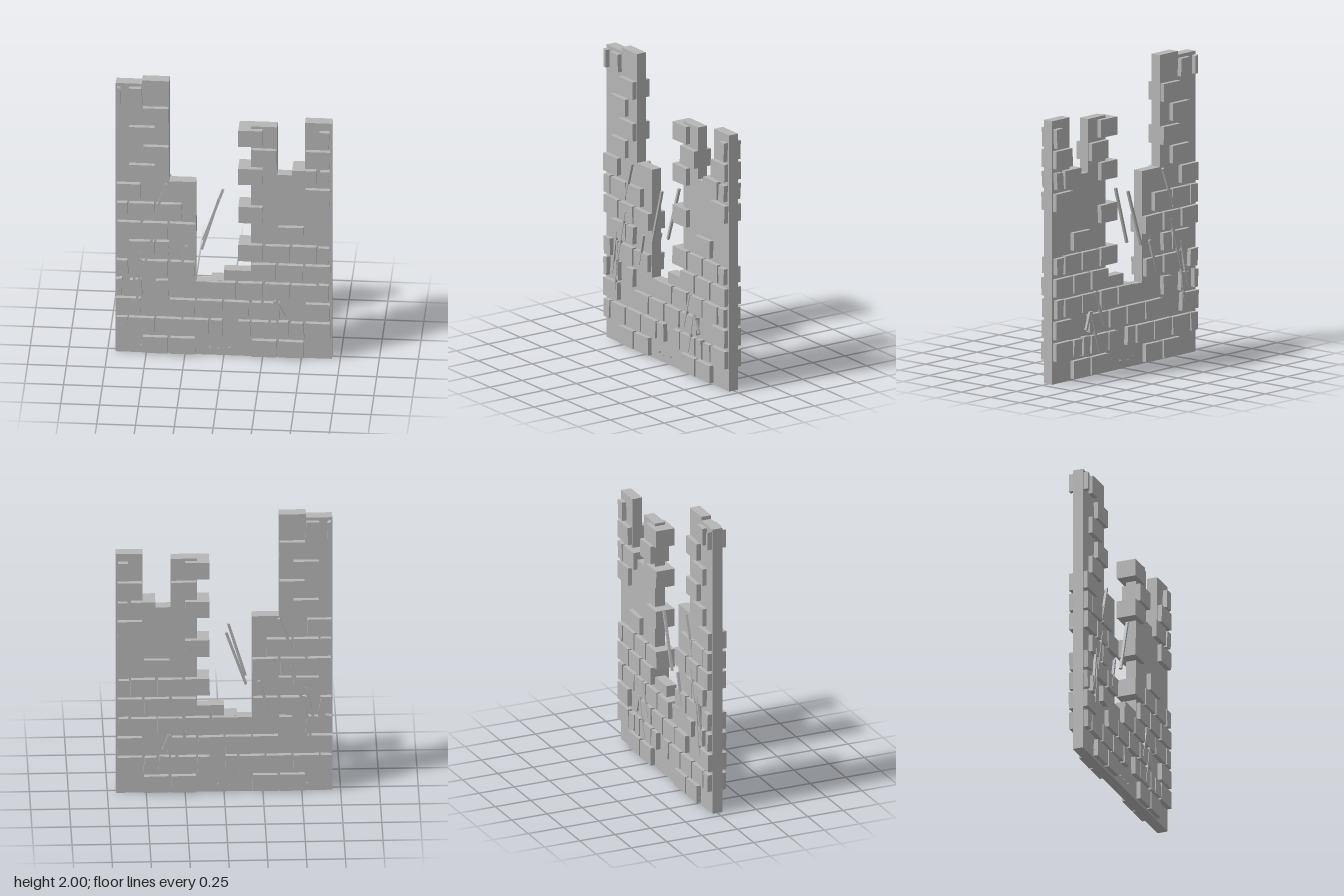
import * as THREE from 'three';

const stoneGrey = new THREE.MeshStandardMaterial({ color: 0xb6b6b6 });
stoneGrey.name = 'stoneGrey';

let seed = 7;
function rand() {
  seed = (seed * 16807) % 2147483647;
  return seed / 2147483647 - 0.5;
}

function add(parent, geometry, name) {
  const mesh = new THREE.Mesh(geometry, stoneGrey);
  mesh.name = name;
  parent.add(mesh);
  return mesh;
}

// Broken skyline of the wall slab
const outline = [
  [-0.697, 0], [0.695, 0], [0.695, 1.73], [0.523, 1.73], [0.523, 1.34], [0.343, 1.34],
  [0.343, 1.69], [0.175, 1.69], [0.175, 0.625], [0, 0.625], [0, 0.55], [-0.085, 0.55],
  [-0.085, 0.535], [-0.18, 0.535], [-0.18, 1.265], [-0.353, 1.265], [-0.353, 2],
  [-0.527, 2], [-0.527, 1.975], [-0.697, 1.975],
];

// Raised stones: x ranges per course, from the ground up
const courses = [
  [[-0.52, -0.36], [-0.345, -0.185], [0.18, 0.34], [0.355, 0.515]],
  [[-0.69, -0.625], [-0.61, -0.447], [-0.435, -0.272], [-0.26, -0.1], [-0.085, -0.01],
    [0.093, 0.17], [0.18, 0.342], [0.355, 0.42], [0.432, 0.515], [0.527, 0.685]],
  [[-0.695, -0.535], [-0.345, -0.185], [-0.172, -0.01], [0.005, 0.162], [0.18, 0.36], [0.527, 0.685]],
  [[-0.69, -0.66], [-0.607, -0.53], [-0.435, -0.357], [-0.085, 0.077], [0.093, 0.25],
    [0.267, 0.425], [0.437, 0.6], [0.617, 0.68]],
  [[-0.69, -0.615], [-0.53, -0.362], [-0.345, -0.19], [0.18, 0.337], [0.352, 0.51], [0.527, 0.685]],
  [[-0.61, -0.447], [-0.435, -0.357], [0.093, 0.25], [0.267, 0.425], [0.442, 0.6], [0.617, 0.68]],
  [[-0.69, -0.535], [-0.52, -0.362], [-0.347, -0.182], [0.352, 0.515]],
  [[-0.69, -0.625], [-0.61, -0.447], [-0.435, -0.272], [0.093, 0.25]],
  [[-0.69, -0.535], [0.527, 0.685]],
  [[-0.61, -0.447], [0.093, 0.25], [0.442, 0.6], [0.617, 0.68]],
  [[-0.52, -0.357], [0.18, 0.34], [0.527, 0.685]],
  [[-0.61, -0.447], [0.093, 0.25], [0.617, 0.68]],
  [[-0.52, -0.357]],
  [[-0.69, -0.663], [-0.61, -0.53]],
];

// Slightly irregular block running right through the wall
function stoneGeometry(width, height) {
  const geometry = new THREE.BoxGeometry(width, height, 0.131);
  const position = geometry.attributes.position;
  const slack = width < 0.1 ? 0.012 : 0.004;
  const shift = [0, 1, 2, 3].map(() => [rand() * slack, rand() * slack]);
  for (let i = 0; i < position.count; i++) {
    const corner = (position.getX(i) > 0 ? 1 : 0) + (position.getY(i) > 0 ? 2 : 0);
    position.setX(i, position.getX(i) + shift[corner][0]);
    position.setY(i, position.getY(i) + shift[corner][1]);
  }
  geometry.computeVertexNormals();
  return geometry;
}

// Loose sticks, from top end to bottom end: x, y, x, y
const sticks = [
  [-0.37, 1.26, -0.447, 1.01], [-0.445, 0.92, -0.53, 0.57], [-0.542, 0.76, -0.59, 0.465],
  [-0.53, 0.7, -0.56, 0.365], [-0.24, 0.81, -0.285, 0.6], [0.29, 0.555, 0.222, 0.32],
  [0.33, 0.43, 0.272, 0.16], [0.335, 0.43, 0.393, 0.315], [-0.03, 1.165, -0.14, 0.79],
];

export function createModel() {
  const model = new THREE.Group();
  model.name = 'ruinedWall';

  // Wall slab
  const shape = new THREE.Shape(outline.map(([x, y]) => new THREE.Vector2(x, y)));
  const slab = new THREE.ExtrudeGeometry(shape, { depth: 0.07, bevelEnabled: false });
  slab.translate(0, 0, -0.035);
  add(model, slab, 'wallSlab');

  // Stones
  const stones = new THREE.Group();
  stones.name = 'stones';
  model.add(stones);
  courses.forEach((course, row) => {
    for (const [x0, x1] of course) {
      const stone = add(stones, stoneGeometry(x1 - x0, 0.117), 'stone');
      stone.position.set((x0 + x1) / 2, 0.071 + row * 0.1402, 0);
    }
  });

  // Sticks on both faces
  const stickGroup = new THREE.Group();
  stickGroup.name = 'sticks';
  model.add(stickGroup);
  for (const [x0, y0, x1, y1] of sticks) {
    for (const side of [1, -1]) {
      const dx = x0 - x1 + (side < 0 ? 0.018 : 0);
      const dy = y0 - y1;
      const stick = add(stickGroup, new THREE.BoxGeometry(0.016, Math.hypot(dx, dy), 0.016), 'stick');
      stick.position.set(x1 + dx / 2, y1 + dy / 2, side * 0.061);
      stick.rotation.z = -Math.atan2(dx, dy);
    }
  }

  // Rubble chips near the foot, half sunk in the wall
  const chips = [
    [-0.535, 0.055, 0.02, 0.016, 0.3], [-0.09, 0.06, 0.014, 0.032, -0.6],
    [-0.035, 0.05, 0.014, 0.014, 0.4], [0.037, 0.056, 0.024, 0.034, -0.7],
  ];
  for (const [x, y, width, height, turn] of chips) {
    const chip = add(model, new THREE.OctahedronGeometry(1), 'rubbleChip');
    chip.scale.set(width, height, 0.05);
    chip.position.set(x, y, 0);
    chip.rotation.z = turn;
  }
  return model;
}
